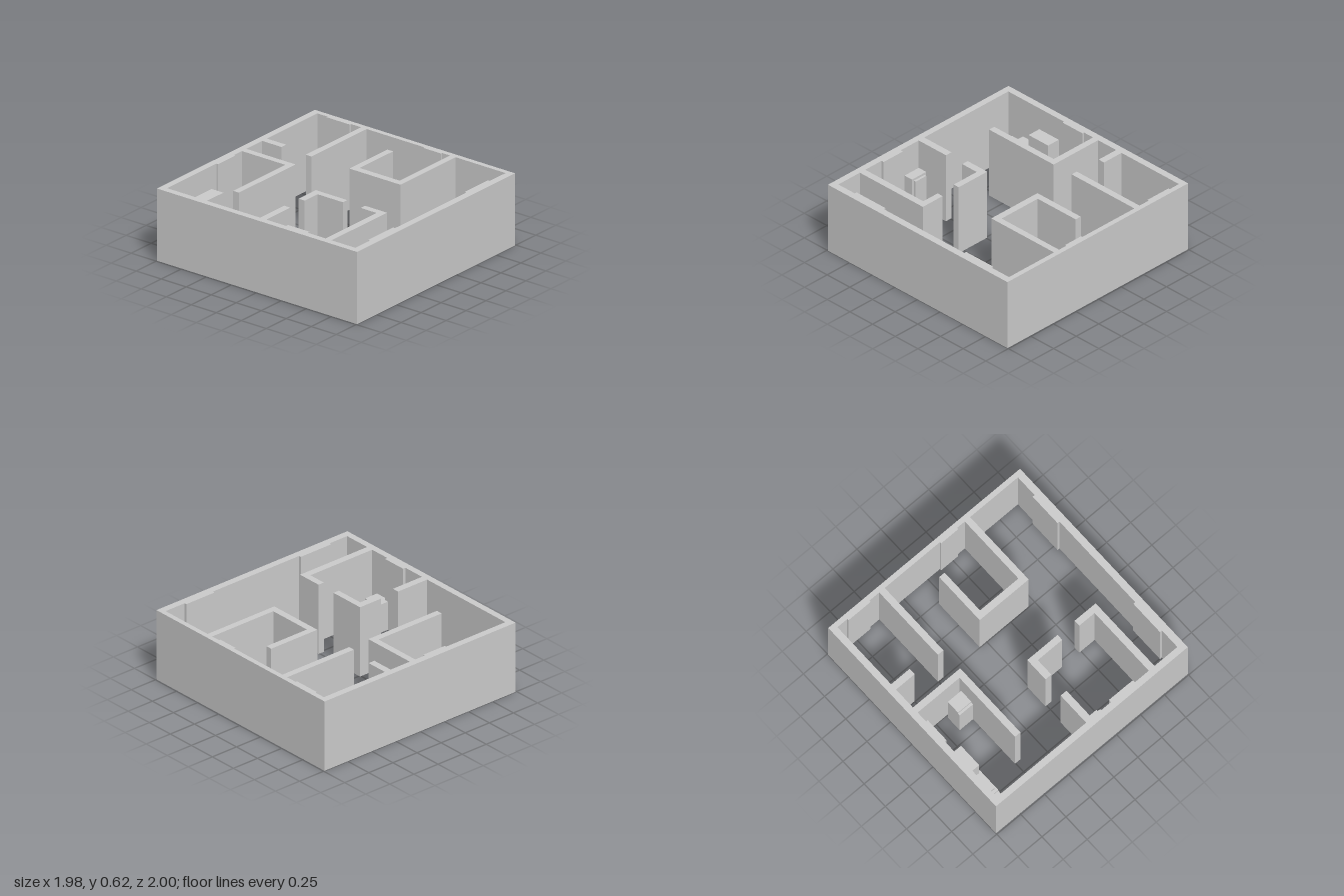
import * as THREE from 'three';

const H = 0.615; // wall height

export function createModel() {
  const model = new THREE.Group();
  model.name = 'floorPlan';
  const material = new THREE.MeshStandardMaterial({ color: 0xcccccc, flatShading: true });

  // Adds an upright block standing on the ground, covering x0..x1 and z0..z1
  function block(parent, name, [x0, x1, z0, z1], height = H) {
    const mesh = new THREE.Mesh(new THREE.BoxGeometry(x1 - x0, height, z1 - z0), material);
    mesh.position.set((x0 + x1) / 2, height / 2, (z0 + z1) / 2);
    mesh.name = name;
    parent.add(mesh);
  }

  // Plan outline extruded upwards; points are [x, z], a hole runs the opposite way round
  function wall(parent, name, points, hole) {
    const toVectors = (list) => list.map(([x, z]) => new THREE.Vector2(x, -z));
    const shape = new THREE.Shape(toVectors(points));
    if (hole) shape.holes.push(new THREE.Path(toVectors(hole)));
    const geometry = new THREE.ExtrudeGeometry(shape, { depth: H, bevelEnabled: false });
    geometry.rotateX(-Math.PI / 2);
    const mesh = new THREE.Mesh(geometry, material);
    mesh.name = name;
    parent.add(mesh);
  }

  const group = (name) => {
    const g = new THREE.Group();
    g.name = name;
    model.add(g);
    return g;
  };

  // Outer walls, open above and below
  wall(model, 'outerWalls',
    [[-0.99, -1], [0.99, -1], [0.99, 1], [-0.99, 1]],
    [[-0.935, -0.942], [-0.935, 0.94], [0.947, 0.94], [0.947, -0.942]]);

  // Inner partitions
  const partitions = group('partitions');
  wall(partitions, 'kitchenWall',
    [[0, -0.942], [0.056, -0.942], [0.056, -0.449], [-0.655, -0.449], [-0.655, -0.506], [0, -0.506]]);
  wall(partitions, 'closetWall',
    [[0.255, -0.07], [0.733, -0.07], [0.733, -0.014], [0.314, -0.014], [0.314, 0.386],
      [0.947, 0.386], [0.947, 0.441], [0.255, 0.441]]);
  wall(partitions, 'bathCornerWall',
    [[-0.455, -0.011], [-0.24, -0.011], [-0.24, 0.305], [-0.295, 0.305], [-0.295, 0.05], [-0.455, 0.05]]);
  wall(partitions, 'bathFrontWall',
    [[-0.935, 0.642], [-0.295, 0.642], [-0.295, 0.483], [-0.24, 0.483], [-0.24, 0.702], [-0.935, 0.702]]);
  block(partitions, 'bathBackWall', [-0.935, -0.634, -0.011, 0.05]);
  block(partitions, 'backStub', [0.255, 0.314, -0.942, -0.748]);
  block(partitions, 'bedroomWall', [0.255, 0.947, -0.506, -0.449]);

  // Shallow full-height panels on the inside of the outer walls
  const panels = group('wallPanels');
  [
    [0.933, 0.947, -0.84, -0.608], [0.933, 0.947, 0.127, 0.305],
    [-0.753, -0.437, 0.92, 0.94], [0.456, 0.75, 0.92, 0.94],
    [-0.32, -0.1, -0.942, -0.925], [-0.935, -0.911, 0.248, 0.462],
  ].forEach((plan) => block(panels, 'wallPanel', plan));

  // Kitchen units along the back wall
  const kitchen = group('kitchenUnits');
  block(kitchen, 'endCounter', [-0.895, -0.798, -0.942, -0.805], 0.22);
  block(kitchen, 'counter', [-0.798, -0.577, -0.942, -0.805], 0.24);
  block(kitchen, 'stove', [-0.773, -0.636, -0.942, -0.824], 0.27);
  block(kitchen, 'tallCabinet', [-0.593, -0.378, -0.942, -0.824], 0.42);

  // Small appliance beside the kitchen wall
  const appliance = group('appliance');
  block(appliance, 'applianceBody', [-0.14, -0.02, -0.645, -0.506], 0.36);
  block(appliance, 'applianceFront', [-0.16, -0.14, -0.645, -0.506], 0.34);

  // Bathroom fixtures along one outer wall
  const bathroom = group('bathroomFixtures');
  block(bathroom, 'washUnit', [-0.935, -0.853, 0.05, 0.207], 0.36);
  block(bathroom, 'washBasin', [-0.935, -0.833, 0.068, 0.186], 0.34);
  block(bathroom, 'lowCabinet', [-0.935, -0.813, 0.427, 0.585], 0.25);

  return model;
}
